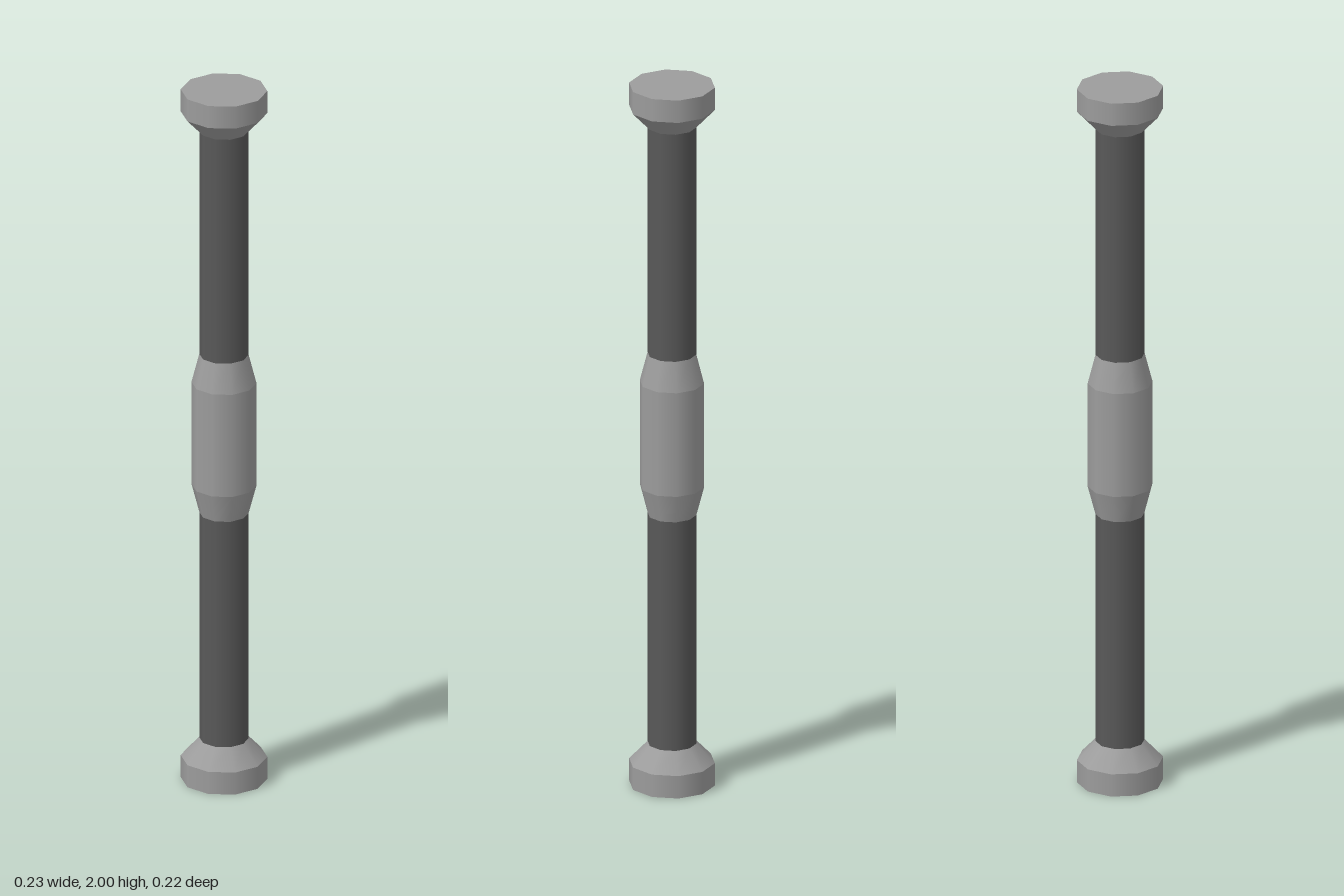
import * as THREE from 'three';

const SIDES = 10;
const SHAFT_R = 0.066, GRIP_R = 0.087, CAP_R = 0.116;

const grey = new THREE.MeshStandardMaterial({ color: 0x9c9c9c });
const dark = new THREE.MeshStandardMaterial({ color: 0x595959 });

// One ten-sided section between two heights, with a corner on the x axis
function section(name, y0, y1, r0, r1, material, open = true) {
  const geometry = new THREE.CylinderGeometry(r1, r0, y1 - y0, SIDES, 1, open, Math.PI / 2);
  geometry.translate(0, (y0 + y1) / 2, 0);
  const mesh = new THREE.Mesh(geometry, material);
  mesh.name = name;
  return mesh;
}

// Flared end: a straight rim with a cone narrowing to the shaft
function endCap(name) {
  const cap = new THREE.Group();
  cap.name = name;
  cap.add(
    section('rim', 0, 0.064, CAP_R, CAP_R, grey, false),
    section('flare', 0.064, 0.117, CAP_R, SHAFT_R, grey)
  );
  return cap;
}

export function createModel() {
  const model = new THREE.Group();
  model.name = 'handleBar';

  // Shaft halves above and below the grip
  model.add(
    section('lowerShaft', 0.117, 0.772, SHAFT_R, SHAFT_R, dark),
    section('upperShaft', 1.232, 1.883, SHAFT_R, SHAFT_R, dark)
  );

  // Thicker middle grip with tapered ends
  const grip = new THREE.Group();
  grip.name = 'grip';
  grip.add(
    section('lowerTaper', 0.772, 0.853, SHAFT_R, GRIP_R, grey),
    section('sleeve', 0.853, 1.15, GRIP_R, GRIP_R, grey),
    section('upperTaper', 1.15, 1.232, GRIP_R, SHAFT_R, grey)
  );
  model.add(grip);

  // Matching caps, the upper one turned over
  const topCap = endCap('topCap');
  topCap.rotation.x = Math.PI;
  topCap.position.y = 2;
  model.add(endCap('bottomCap'), topCap);

  return model;
}
